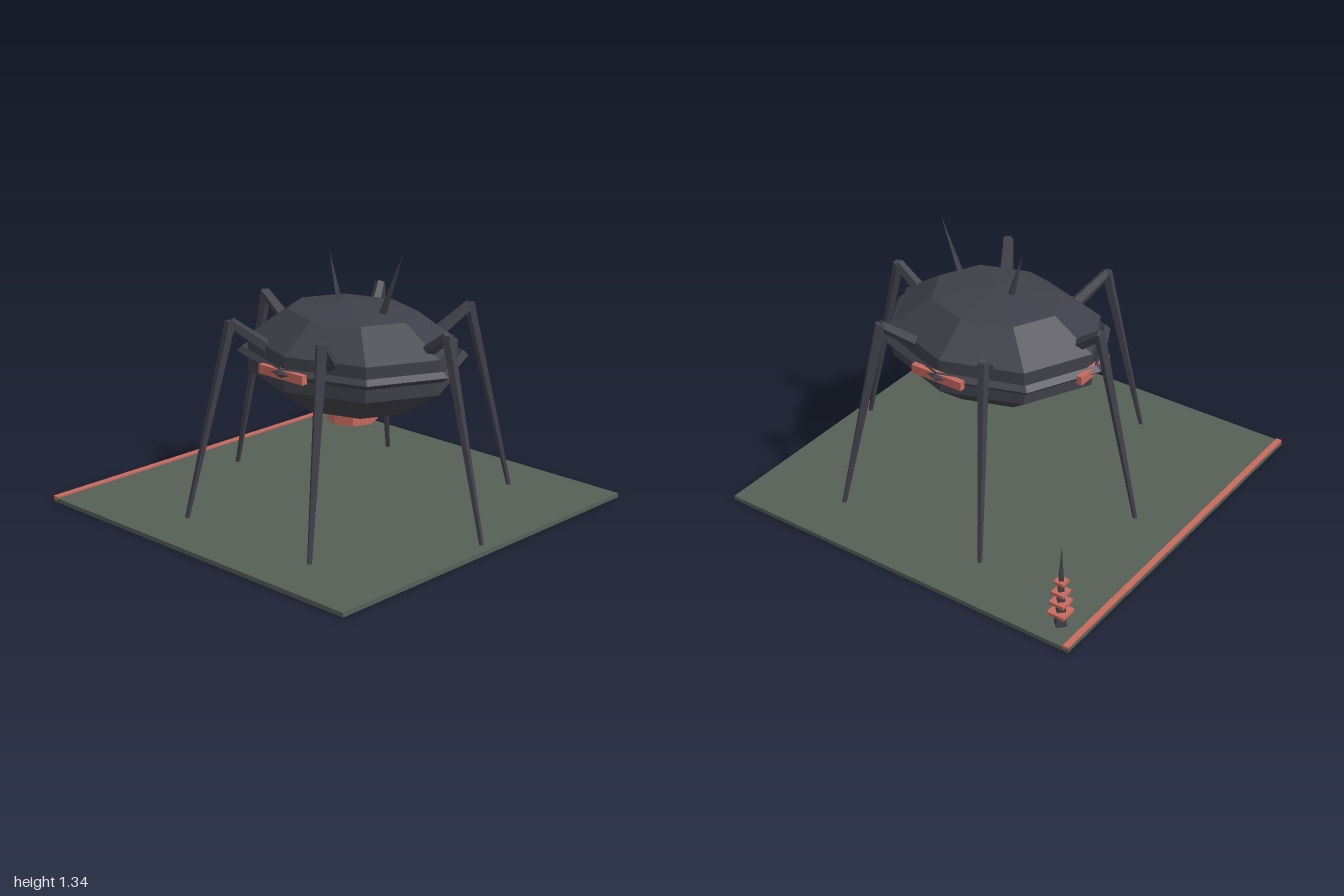
import * as THREE from 'three';

export function createModel() {
  const model = new THREE.Group();
  model.name = 'spiderWalker';
  const flat = (name, color) => {
    const m = new THREE.MeshStandardMaterial({ color, flatShading: true });
    m.name = name;
    return m;
  };
  const dark = flat('dark shell', 0x40404a);
  const coral = flat('coral', 0xc96a5e);
  const green = flat('dull green', 0x566055);

  const add = (name, geo, mat, x = 0, y = 0, z = 0, parent = model) => {
    const m = new THREE.Mesh(geo, mat);
    m.name = name;
    m.position.set(x, y, z);
    parent.add(m);
    return m;
  };
  const box = (name, w, h, d, mat, x, y, z) =>
    add(name, new THREE.BoxGeometry(w, h, d), mat, x, y, z);
  // Tapered rod from point a (radius ra) to point b (radius rb)
  const rod = (name, a, b, ra, rb, sides, parent = model) => {
    const dir = b.clone().sub(a);
    const mid = a.clone().add(b).multiplyScalar(0.5);
    const geo = new THREE.CylinderGeometry(rb, ra, dir.length(), sides);
    const m = add(name, geo, dark, mid.x, mid.y, mid.z, parent);
    m.quaternion.setFromUnitVectors(new THREE.Vector3(0, 1, 0), dir.normalize());
    return m;
  };
  const CZ = 0.105;

  // Ground slab with a strip along its back edge
  box('ground', 2, 0.022, 2, green, 0, 0.011, 0);
  box('backStrip', 2, 0.02, 0.03, coral, 0, 0.02, -0.985);

  // Faceted body and its belt
  const shell = new THREE.SphereGeometry(1, 8, 5);
  shell.scale(0.485, 0.278, 0.584);
  add('body', shell, dark, 0, 0.777, CZ);
  const belt = new THREE.TorusGeometry(0.485, 0.025, 4, 8);
  belt.rotateX(Math.PI / 2);
  belt.scale(1, 1, 1.2);
  add('belt', belt, dark, 0, 0.787, CZ);

  // Coral panels on the sides, back and belly
  for (const s of [1, -1]) box('sidePanel', 0.03, 0.045, 0.29, coral, s * 0.475, 0.782, CZ);
  box('backPanel', 0.246, 0.045, 0.028, coral, 0, 0.782, -0.462);
  add('bellyHatch', new THREE.CylinderGeometry(0.125, 0.125, 0.09, 8), coral, 0, 0.495, CZ);

  // Six legs in an even ring
  for (let i = 0; i < 6; i++) {
    const a = Math.PI / 2 + (i * Math.PI) / 3;
    const at = (r, y) => new THREE.Vector3(Math.cos(a) * r, y, CZ + Math.sin(a) * r);
    const leg = new THREE.Group();
    leg.name = 'leg';
    model.add(leg);
    rod('upperLeg', at(0.41, 0.835), at(0.605, 0.985), 0.036, 0.027, 5, leg);
    rod('lowerLeg', at(0.6, 0.99), at(0.832, 0.02), 0.029, 0.012, 5, leg);
  }

  // Spikes on the back of the shell
  const v = (y, z) => new THREE.Vector3(0, y, z);
  rod('frontSpike', v(1.0, 0.295), v(1.34, 0.432), 0.024, 0, 4);
  rod('rearSpike', v(1.0, 0.025), v(1.27, -0.05), 0.022, 0, 4);

  // Small spire with square collars in the corner
  const P = 0.875;
  add('spire', new THREE.ConeGeometry(0.036, 0.445, 4), dark, P, 0.242, -P);
  [[0.095, 0.09], [0.152, 0.078], [0.208, 0.066], [0.266, 0.052]].forEach(([y, w]) =>
    box('spireCollar', w, 0.016, w, coral, P, y, -P));

  return model;
}
